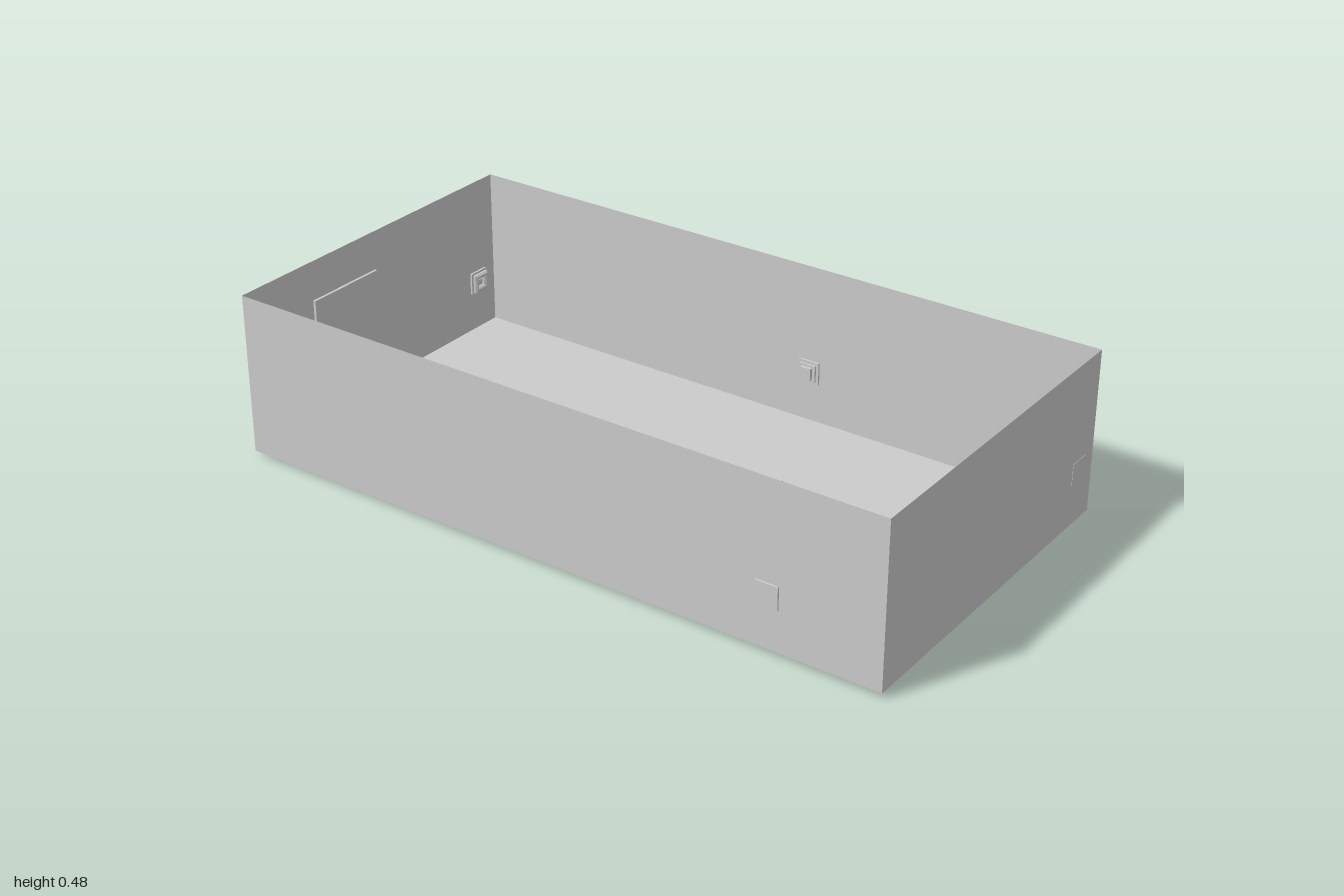
import * as THREE from 'three';

const FLOOR = 0.015, TOP = 0.48, HX = 0.515, ZB = -0.98, ZF = 1;

export function createModel() {
  const root = new THREE.Group();
  const grey = new THREE.MeshStandardMaterial({ color: 0xcccccc });
  const flat = new THREE.MeshStandardMaterial({ color: 0xcccccc, flatShading: true });
  const sheet = new THREE.MeshStandardMaterial({ color: 0xcccccc, side: THREE.DoubleSide });

  const add = (parent, name, geo, mat, x = 0, y = 0, z = 0) => {
    const m = new THREE.Mesh(geo, mat);
    m.name = name;
    m.position.set(x, y, z);
    parent.add(m);
    return m;
  };
  const box = (parent, name, w, h, d, x, y, z) =>
    add(parent, name, new THREE.BoxGeometry(w, h, d), grey, x, y, z);

  // Open-topped room made of thin sheets
  const room = new THREE.Group();
  room.name = 'room';
  root.add(room);
  const h = TOP - FLOOR, my = (TOP + FLOOR) / 2, len = ZF - ZB, mz = (ZF + ZB) / 2;
  add(room, 'floor', new THREE.PlaneGeometry(2 * HX, len), sheet, 0, FLOOR, mz).rotation.x = -Math.PI / 2;
  add(room, 'frontWall', new THREE.PlaneGeometry(2 * HX, h), sheet, 0, my, ZF);
  add(room, 'backWall', new THREE.PlaneGeometry(2 * HX, h), sheet, 0, my, ZB);
  for (const s of [-1, 1]) {
    add(room, s > 0 ? 'leftWall' : 'rightWall', new THREE.PlaneGeometry(len, h), sheet, s * HX, my, mz)
      .rotation.y = Math.PI / 2;
  }

  // Door set through the back wall, with slanted feet under its jambs
  const door = new THREE.Group();
  door.name = 'door';
  root.add(door);
  box(door, 'doorPanel', 0.252, 0.35, 0.028, -0.127, 0.19, -0.986);
  const foot = (x, dx, drop) => {
    const s = new THREE.Shape([[x, FLOOR], [x, FLOOR - drop], [x + dx, FLOOR]].map(p => new THREE.Vector2(...p)));
    add(door, 'jambFoot', new THREE.ExtrudeGeometry(s, { depth: 0.028, bevelEnabled: false }), grey, 0, 0, -1);
  };
  foot(-0.253, 0.025, 0.015);
  foot(-0.001, -0.018, 0.008);

  // Low table
  const table = new THREE.Group();
  table.name = 'table';
  root.add(table);
  box(table, 'tableTop', 0.17, 0.012, 0.67, -0.005, 0.079, 0.005);
  for (const x of [-0.068, 0.058]) {
    for (const z of [-0.315, 0.325]) box(table, 'tableLeg', 0.02, 0.06, 0.02, x, 0.044, z);
  }

  // Small figure: rounded body and ball head
  const figure = new THREE.Group();
  figure.name = 'figure';
  figure.position.set(-0.27, FLOOR, -0.02);
  root.add(figure);
  const profile = [[0, 0], [0.018, 0], [0.022, 0.006], [0.024, 0.022], [0.023, 0.038], [0.016, 0.05], [0.009, 0.064], [0, 0.066]]
    .map(p => new THREE.Vector2(...p));
  add(figure, 'body', new THREE.LatheGeometry(profile, 20), grey);
  add(figure, 'head', new THREE.SphereGeometry(0.024, 20, 14), grey, 0, 0.083, 0);

  // Wall fittings, modelled facing +z from the wall plane
  const square = (w, Kind = THREE.Shape) => {
    const r = w / 2;
    return new Kind([[-r, -r], [r, -r], [r, r], [-r, r]].map(p => new THREE.Vector2(...p)));
  };
  const fitting = (name, x, z, turn, isSwitch, behind = 0.001) => {
    const g = new THREE.Group();
    g.name = name;
    g.position.set(x, 0.165, z);
    g.rotation.y = turn;
    root.add(g);
    box(g, 'backPlate', 0.066, 0.066, 0.006 + behind, 0, 0, (0.006 - behind) / 2);
    if (isSwitch) {
      box(g, 'switchFrame', 0.05, 0.05, 0.006, 0, 0, 0.009);
      box(g, 'rocker', 0.032, 0.036, 0.01, 0, 0, 0.017);
    } else {
      // Bevelled rim around a recess
      const rim = square(0.046);
      rim.holes.push(square(0.034, THREE.Path));
      add(g, 'rim', new THREE.ExtrudeGeometry(rim, {
        depth: 0.006, bevelThickness: 0.005, bevelSize: 0.005, bevelSegments: 1,
      }), flat, 0, 0, 0.008);
      box(g, 'insert', 0.016, 0.016, 0.006, 0, 0, 0.009);
    }
  };
  fitting('frontSocket', 0.44, ZF, Math.PI, false);
  fitting('backSocket', 0.44, ZB, 0, false);
  fitting('rightSocket', -HX, 0.68, Math.PI / 2, false, 0.005);
  fitting('lightSwitch', HX, 0.14, -Math.PI / 2, true);

  return root;
}
